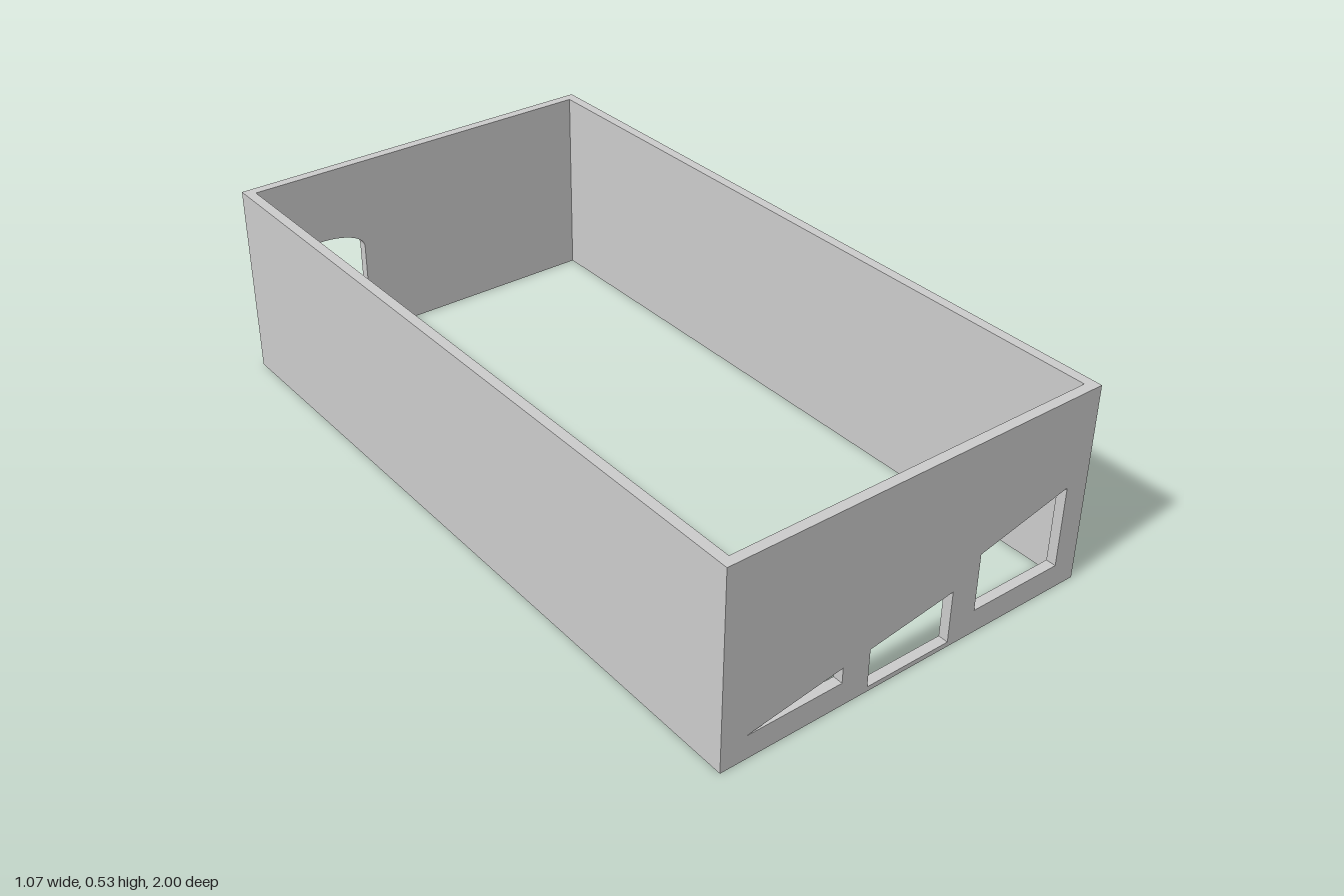
import * as THREE from 'three';

const W = 1.067, H = 0.533, L = 2, T = 0.027, SKIN = 0.002;
const SILL = 0.065, SPRING = 0.277, APEX = 0.331;

const polygon = (points) => new THREE.Path(points.map(([x, y]) => new THREE.Vector2(x, y)));

// Window opening with a shallow elliptical head
function archedOpening(x0, x1) {
  const p = new THREE.Path();
  p.moveTo(x0, SILL);
  p.lineTo(x1, SILL);
  p.lineTo(x1, SPRING);
  p.absellipse((x0 + x1) / 2, SPRING, (x1 - x0) / 2, APEX - SPRING, 0, Math.PI, false, 0);
  p.closePath();
  return p;
}

// Upright wall panel with openings, from z to z + depth
function panel(name, width, holes, z, depth, material) {
  const shape = new THREE.Shape();
  shape.moveTo(-width / 2, 0);
  shape.lineTo(width / 2, 0);
  shape.lineTo(width / 2, H);
  shape.lineTo(-width / 2, H);
  shape.closePath();
  shape.holes.push(...holes);
  const geometry = new THREE.ExtrudeGeometry(shape, { depth, bevelEnabled: false, curveSegments: 24 });
  const mesh = new THREE.Mesh(geometry, material);
  mesh.name = name;
  mesh.position.z = z;
  return mesh;
}

export function createModel() {
  const group = new THREE.Group();
  group.name = 'walls';
  const material = new THREE.MeshStandardMaterial({ color: 0xcccccc, flatShading: true });

  // Long side walls
  for (const [name, side] of [['leftWall', 1], ['rightWall', -1]]) {
    const wall = new THREE.Mesh(new THREE.BoxGeometry(T, H, L), material);
    wall.name = name;
    wall.position.set(side * (W - T) / 2, H / 2, 0);
    group.add(wall);
  }

  // Back wall with one arched window
  const inner = W - 2 * T;
  group.add(panel('backWall', inner, [archedOpening(-0.467, -0.2)], -L / 2, T, material));

  // Front wall: two arched window recesses and a doorway on the inside
  const doorway = polygon([[-0.122, 0.013], [0.122, 0.013], [0.122, 0.285], [-0.122, 0.285]]);
  const recesses = [archedOpening(-0.467, -0.2), doorway, archedOpening(0.2, 0.467)];
  group.add(panel('frontWall', inner, recesses, L / 2 - T, T - SKIN, material));

  // Thin outer face whose openings have sloping heads
  const slopes = [
    polygon([[-0.467, SILL], [-0.2, SILL], [-0.2, 0.107]]),
    polygon([[-0.122, 0.013], [0.122, 0.013], [0.122, 0.155], [-0.122, 0.118]]),
    polygon([[0.2, SILL], [0.467, SILL], [0.467, 0.285], [0.2, 0.222]]),
  ];
  group.add(panel('frontFace', inner, slopes, L / 2 - SKIN, SKIN, material));

  return group;
}
